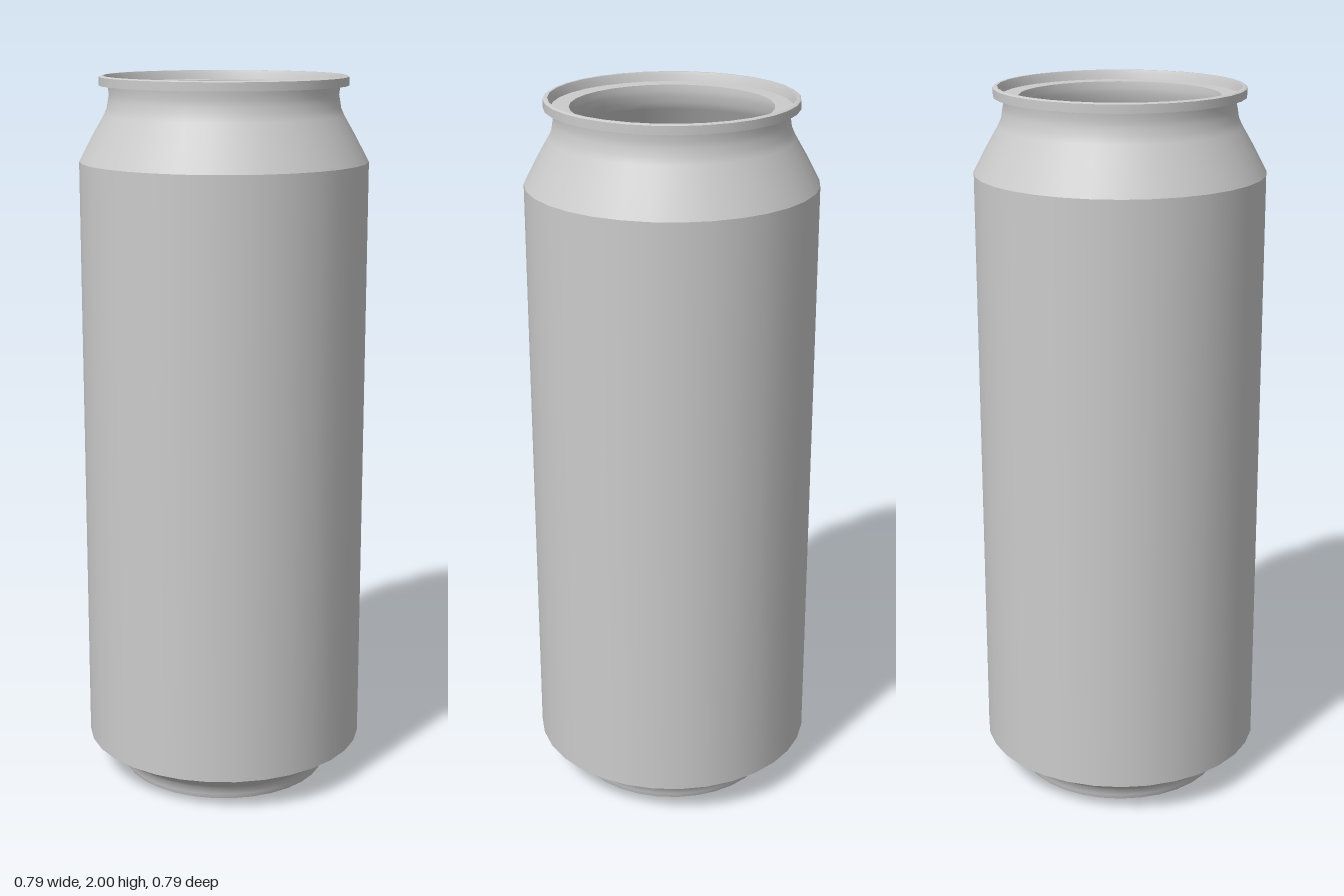
import * as THREE from 'three';

const SIDES = 32;

export function createModel() {
  const can = new THREE.Group();
  can.name = 'drinkCan';
  const metal = new THREE.MeshStandardMaterial({ color: 0xcccccc, side: THREE.DoubleSide });

  // Each section is turned separately, so the joints between sections stay crisp
  const turn = (name, profile) => {
    const points = profile.map(([r, y]) => new THREE.Vector2(r, y));
    const mesh = new THREE.Mesh(new THREE.LatheGeometry(points, SIDES), metal);
    mesh.name = name;
    can.add(mesh);
  };

  // Underside dome, pushed up into the can
  turn('bottomDome', [
    [0, 0.115], [0.1, 0.112], [0.17, 0.102], [0.22, 0.082], [0.25, 0.055], [0.268, 0.02], [0.275, 0],
  ]);

  // Standing ring and the taper out to the wall
  turn('footRing', [[0.275, 0], [0.293, 0]]);
  turn('baseTaper', [[0.293, 0], [0.298, 0.015], [0.3, 0.034], [0.318, 0.05], [0.397, 0.1]]);

  // Straight wall
  turn('body', [[0.397, 0.1], [0.397, 1.77]]);

  // Shoulder curving into the neck
  turn('shoulder', [
    [0.397, 1.77], [0.36, 1.84], [0.328, 1.895], [0.319, 1.915], [0.316, 1.935], [0.313, 1.95], [0.316, 1.974],
  ]);

  // Rolled rim with a sunken lip around the open mouth
  turn('rimUnderside', [[0.316, 1.974], [0.34, 1.974]]);
  turn('rimOuter', [[0.34, 1.974], [0.34, 1.997]]);
  turn('rimTop', [[0.34, 1.997], [0.335, 2], [0.328, 2]]);
  turn('rimInner', [[0.328, 2], [0.324, 1.99], [0.32, 1.975]]);
  turn('mouthLip', [[0.32, 1.975], [0.272, 1.975]]);

  return can;
}
